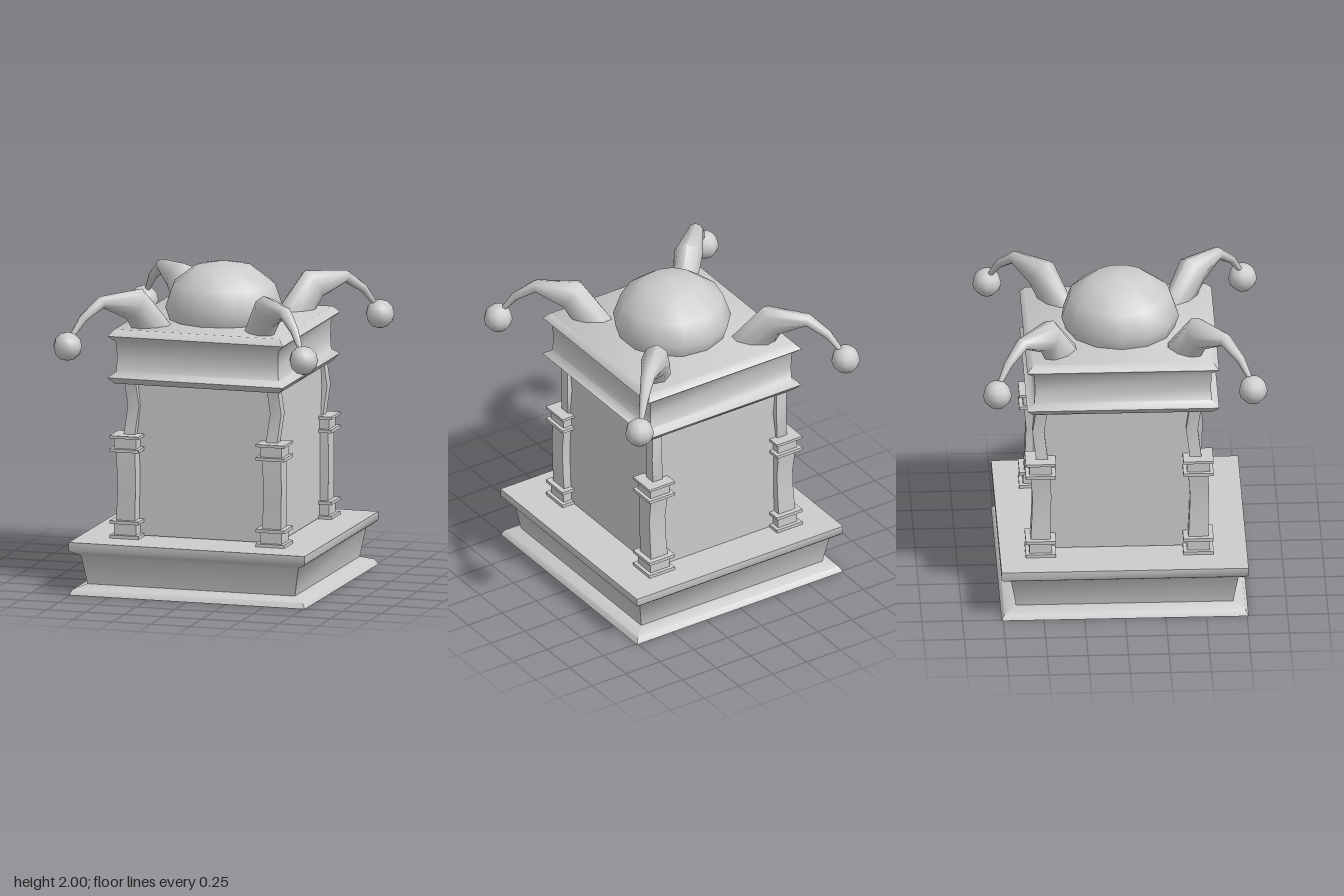
import * as THREE from 'three';
import { toCreasedNormals } from 'three/addons/utils/BufferGeometryUtils.js';

// Skin a list of equal-sized rings (arrays of Vector3), with optional end caps
function loft(rings, { bottom = true, top = true, crease = 0.95 } = {}) {
  const n = rings[0].length;
  const pts = rings.flat();
  const index = [];
  for (let i = 0; i < rings.length - 1; i++) {
    for (let j = 0; j < n; j++) {
      const k = (j + 1) % n;
      const a = i * n + j, b = i * n + k;
      index.push(a, b, b + n, a, b + n, a + n);
    }
  }
  const cap = (start, up) => {
    const c = new THREE.Vector3();
    for (let j = 0; j < n; j++) c.addScaledVector(pts[start + j], 1 / n);
    pts.push(c);
    const m = pts.length - 1;
    for (let j = 0; j < n; j++) {
      const a = start + j, b = start + (j + 1) % n;
      if (up) index.push(m, a, b); else index.push(m, b, a);
    }
  };
  if (bottom) cap(0, false);
  if (top) cap((rings.length - 1) * n, true);
  const g = new THREE.BufferGeometry().setFromPoints(pts);
  g.setIndex(index);
  return toCreasedNormals(g, crease);
}

// Rectangular ring: half width, height, half depth, centre offset
function square(hx, y, hz = hx, cx = 0, cz = 0) {
  return [[1, 1], [1, -1], [-1, -1], [-1, 1]].map(
    ([x, z]) => new THREE.Vector3(cx + x * hx, y, cz + z * hz));
}

// Curved jester-cap style horn running outward along the +x +z diagonal
function hornGeometry() {
  const D = new THREE.Vector3(1, 0, 1).normalize();
  const Y = new THREE.Vector3(0, 1, 0);
  const B = new THREE.Vector3(-1, 0, 1).normalize();
  // x, y, tilt in degrees, half thickness, half width
  const sections = [
    [0.33, 1.60, 78, 0.125, 0.07],
    [0.43, 1.79, 32, 0.105, 0.09],
    [0.59, 1.82, -12, 0.038, 0.045],
    [0.68, 1.73, -45, 0.026, 0.028],
    [0.75, 1.60, -60, 0.012, 0.012],
  ];
  const rings = sections.map(([x, y, deg, h, w]) => {
    const t = THREE.MathUtils.degToRad(deg);
    const N = D.clone().multiplyScalar(-Math.sin(t)).addScaledVector(Y, Math.cos(t));
    return Array.from({ length: 8 }, (_, i) => {
      const a = i / 8 * Math.PI * 2;
      return new THREE.Vector3(x, y, x + 0.035)
        .addScaledVector(N, Math.cos(a) * h)
        .addScaledVector(B, Math.sin(a) * w);
    });
  });
  return loft(rings, { crease: 1.2 });
}

export function createModel() {
  const model = new THREE.Group();
  const stone = new THREE.MeshStandardMaterial({ color: 0xcccccc, side: THREE.DoubleSide });
  stone.name = 'stone grey';

  const add = (name, geometry, parent = model) => {
    const mesh = new THREE.Mesh(geometry, stone);
    mesh.name = name;
    parent.add(mesh);
    return mesh;
  };

  // Hollow moulded base, open underneath
  const baseProfile = [[0.76, 0], [0.74, 0.035], [0.668, 0.06], [0.70, 0.24],
    [0.745, 0.265], [0.76, 0.28], [0.76, 0.33]];
  add('base', loft(baseProfile.map(([r, y]) => square(r, y)), { bottom: false }));

  // Main block
  add('body', loft([square(0.46, 0.335, 0.475, 0.02, -0.045),
    square(0.46, 1.32, 0.475, 0.02, -0.045)]));

  // Moulded cornice, slightly deeper than wide
  const corniceProfile = [[0.53, 1.30], [0.565, 1.34], [0.522, 1.375], [0.518, 1.46],
    [0.522, 1.56], [0.565, 1.60], [0.53, 1.64]];
  add('cornice', loft(corniceProfile.map(([r, y]) => square(r, y, r * 1.045, 0, -0.003))));

  // Corner columns: plates, blocks, a bowed shaft and a thin bent post above
  const plates = [[0.33, 0.35], [0.42, 0.44], [0.87, 0.89], [0.955, 0.972]];
  const blocks = [[0.35, 0.42], [0.89, 0.955]];
  for (const sx of [-1, 1]) {
    for (const [side, z] of [['front', 0.46], ['back', -0.51]]) {
      const column = new THREE.Group();
      column.name = `${side}${sx > 0 ? 'Left' : 'Right'}Column`;
      column.position.set(sx * 0.47, 0, z);
      model.add(column);
      for (const [a, b] of plates) add('columnPlate', loft([square(0.093, a), square(0.093, b)]), column);
      for (const [a, b] of blocks) add('columnBlock', loft([square(0.07, a), square(0.07, b)]), column);
      add('columnShaft', loft([
        square(0.061, 0.44),
        square(0.058, 0.58, 0.058, 0.006, 0.004),
        square(0.058, 0.72, 0.058, 0.008, 0.008),
        square(0.062, 0.87),
      ]), column);
      const cx = -sx * 0.012, cz = z > 0 ? -0.015 : 0.01;
      add('upperPost', loft([
        square(0.036, 0.97, 0.036, cx, cz),
        square(0.036, 1.15, 0.036, cx + 0.02, cz - 0.022),
        square(0.036, 1.31, 0.036, cx + 0.004, cz),
      ]), column);
    }
  }

  // Flattened dome ball
  const dome = add('dome', new THREE.SphereGeometry(0.365, 13, 6));
  dome.scale.y = 0.28 / 0.365;
  dome.position.y = 1.72;

  // Four drooping horns, each with a ball at the tip
  const horn = hornGeometry();
  const ball = new THREE.SphereGeometry(0.09, 9, 6);
  for (const sx of [-1, 1]) {
    for (const sz of [-1, 1]) {
      add('horn', horn).scale.set(sx, 1, sz);
      add('hornBall', ball).position.set(sx * 0.76, 1.563, sz * 0.787);
    }
  }
  return model;
}
